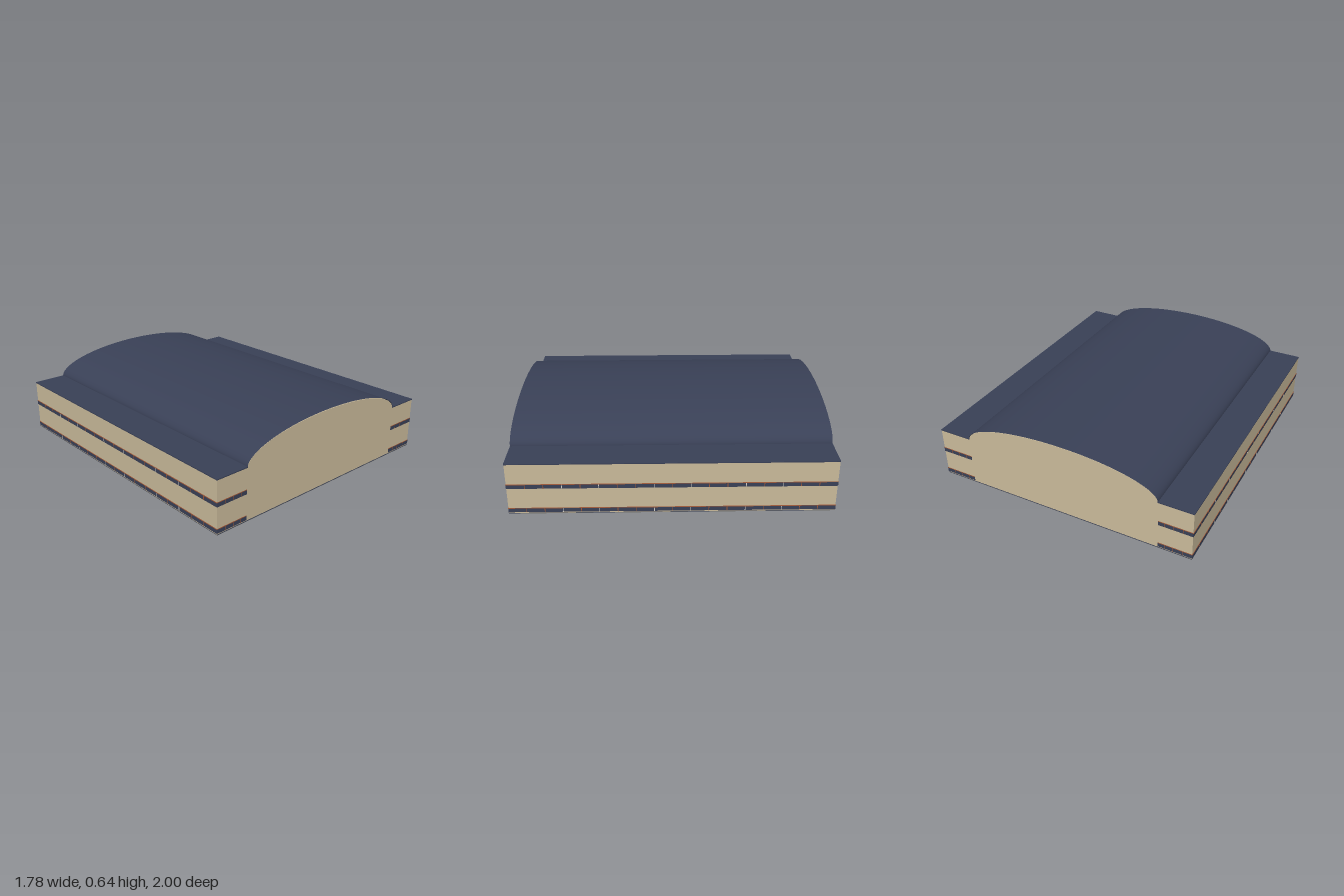
import * as THREE from 'three';

const material = (name, color) => {
  const m = new THREE.MeshStandardMaterial({ color });
  m.name = name;
  return m;
};

export function createModel() {
  const model = new THREE.Group();
  const stone = material('sandstone', 0xc9ba9a);
  const navy = material('navy', 0x394056);
  const grey = material('soffit grey', 0x7a7875);
  const brown = material('brown', 0x7a5440);
  const copper = material('copper trim', 0xa05a3a);
  const pale = material('pale trim', 0xd6d2c8);

  const add = (name, geometry, mat, parent = model) => {
    const mesh = new THREE.Mesh(geometry, mat);
    mesh.name = name;
    parent.add(mesh);
    return mesh;
  };
  // Box given by its minimum and maximum corners
  const box = (name, x0, x1, y0, y1, z0, z1, mat, parent) => {
    const mesh = add(name, new THREE.BoxGeometry(x1 - x0, y1 - y0, z1 - z0), mat, parent);
    mesh.position.set((x0 + x1) / 2, (y0 + y1) / 2, (z0 + z1) / 2);
    return mesh;
  };

  const W = 0.885, EAVE = 0.47, BASE = 0.133, ARCH = 0.66, RISE = 0.165;

  // Upper outline: flat shoulder, half-ellipse vault, flat shoulder
  const outline = [new THREE.Vector2(W, EAVE)];
  const steps = 64;
  for (let i = 0; i <= steps; i++) {
    const a = (i / steps) * Math.PI;
    outline.push(new THREE.Vector2(ARCH * Math.cos(a), EAVE + RISE * Math.sin(a)));
  }
  outline.push(new THREE.Vector2(-W, EAVE));

  // Main block, with the vault shape at both ends
  const bodyShape = new THREE.Shape([
    new THREE.Vector2(-W, BASE), new THREE.Vector2(W, BASE), ...outline,
  ]);
  const bodyGeometry = new THREE.ExtrudeGeometry(bodyShape, { depth: 1.996, bevelEnabled: false });
  bodyGeometry.translate(0, 0, -0.998);
  add('body', bodyGeometry, stone);

  // Thin roof skin following the outline, with smooth normals on the vault
  const flat = (name, x0, x1) => box(name, x0, x1, EAVE - 0.001, EAVE + 0.005, -1, 1, navy);
  flat('leftRoofShoulder', ARCH, W + 0.002);
  flat('rightRoofShoulder', -W - 0.002, -ARCH);
  const vault = new THREE.CylinderGeometry(1, 1, 2, steps, 1, true, -Math.PI / 2, Math.PI);
  vault.rotateX(-Math.PI / 2);
  vault.scale(ARCH + 0.003, RISE + 0.005, 1);
  vault.translate(0, EAVE, 0);
  navy.side = THREE.DoubleSide;
  add('vaultedRoof', vault, navy);

  // Window bands wrapping both long sides and their corners
  for (const side of [1, -1]) {
    for (const y of [0.305, 0.139]) {
      const band = new THREE.Group();
      band.name = side > 0 ? 'leftWindowBand' : 'rightWindowBand';
      model.add(band);
      const span = (name, a, b, y0, y1, z0, z1, mat) =>
        box(name, Math.min(side * a, side * b), Math.max(side * a, side * b), y0, y1, z0, z1, mat, band);
      span('glass', 0.665, W + 0.002, y, y + 0.027, -0.9995, 0.9995, navy);
      span('topRail', 0.665, W + 0.003, y + 0.026, y + 0.03, -1, 1, copper);
      // Mullions along the side, some of them pale
      for (let k = -8; k <= 8; k++) {
        const z = k * 0.111;
        const isPale = [1, 4, 6].includes(Math.abs(k));
        span('mullion', W, W + 0.003, y, y + 0.027, z - 0.002, z + 0.002, isPale ? pale : copper);
      }
      // Mullions on the front and back returns
      for (const x of [0.71, 0.765, 0.825]) {
        for (const z of [1, -1]) {
          span('endMullion', x - 0.0015, x + 0.0015, y, y + 0.027, z * 0.9992 - 0.0008, z * 0.9992 + 0.0008, copper);
        }
      }
    }
  }

  // Underside: dark edge, grey soffit and brown floor panel
  box('baseEdge', -W, W, 0.13, 0.134, -0.999, 0.999, navy);
  box('soffit', -W, W, 0.128, 0.13, -0.999, 0.999, grey);
  box('floorPanel', -ARCH, ARCH, 0.126, 0.128, -0.77, 0.66, brown);

  // Outline of the hatch in front of the hanging panel
  for (const x of [-0.383, 0.383]) {
    box('hatchSideTrim', x - 0.002, x + 0.002, 0.124, 0.126, -0.765, -0.35, navy);
  }
  box('hatchFrontTrim', -0.385, 0.385, 0.124, 0.126, -0.352, -0.348, navy);

  // Hanging panel near the back, with a trimmed lower strip
  box('hangingPanel', -0.383, 0.383, 0, 0.13, -0.776, -0.764, navy);
  box('panelRail', -0.383, 0.383, 0.03, 0.034, -0.777, -0.763, copper);
  for (const x of [-0.29, -0.225, -0.115, -0.055, 0.05, 0.105, 0.215, 0.285]) {
    box('panelMullion', x - 0.0015, x + 0.0015, 0.003, 0.03, -0.777, -0.763, copper);
  }

  return model;
}
